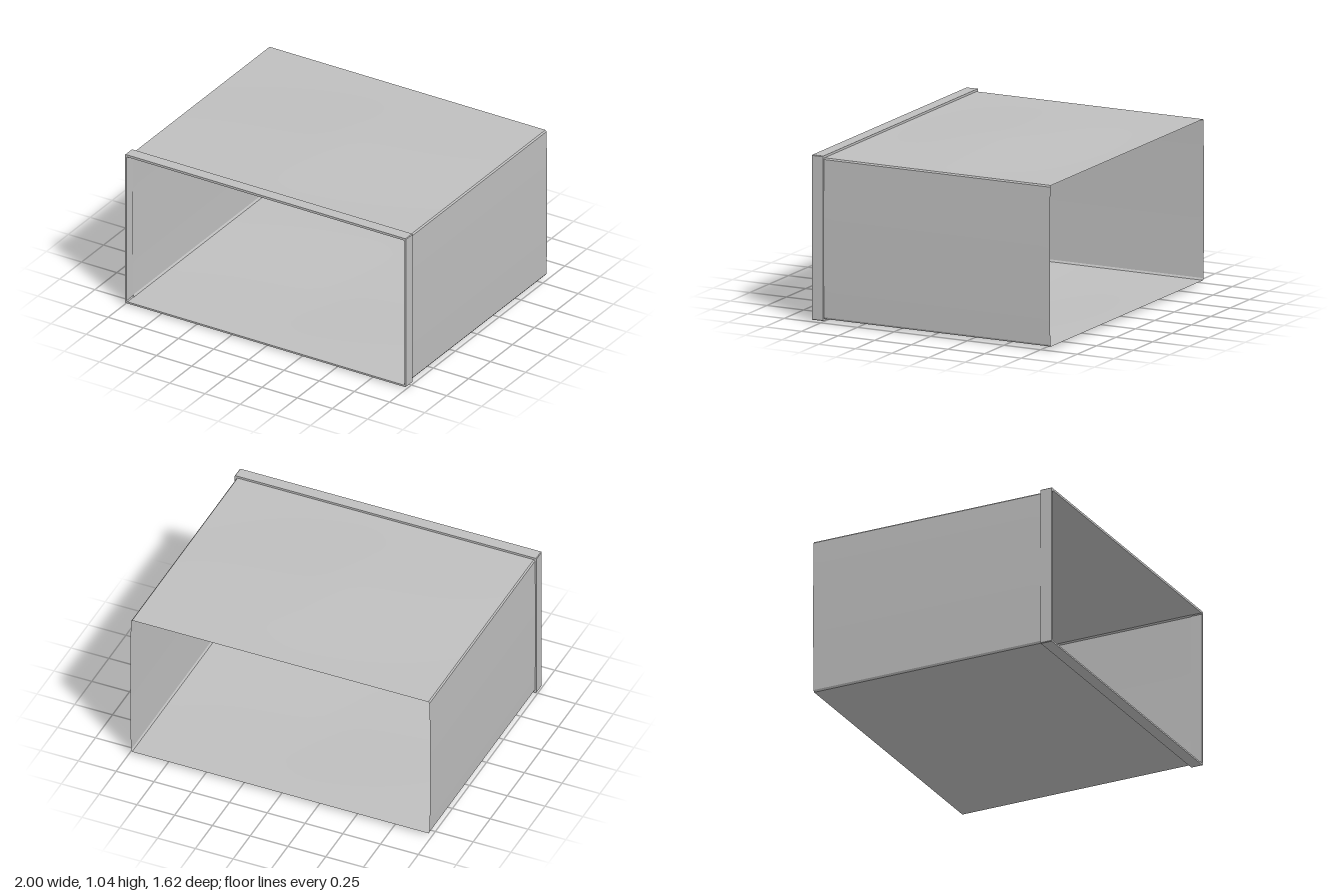
import * as THREE from 'three';

const BACK = -0.81, SEAM = 0.735, FRONT = 0.81;
const TOP = 1.021, BOTTOM = 0.022, BULGE = 0.022;

export function createModel() {
  const group = new THREE.Group();
  group.name = 'openSleeve';
  const grey = new THREE.MeshStandardMaterial({ color: 0xbfbfbf, side: THREE.DoubleSide });
  grey.name = 'grey';

  // Thin sheet: place(u, z) gives [x, y] for u in -1..1 across the panel
  function addSheet(name, segments, place) {
    const geo = new THREE.PlaneGeometry(2, 2, segments, 24);
    const p = geo.attributes.position;
    for (let i = 0; i < p.count; i++) {
      const z = THREE.MathUtils.mapLinear(p.getY(i), 1, -1, BACK, SEAM);
      const [x, y] = place(p.getX(i), z);
      p.setXYZ(i, x, y, z);
    }
    geo.computeVertexNormals();
    const mesh = new THREE.Mesh(geo, grey);
    mesh.name = name;
    group.add(mesh);
  }

  // Gentle crown of the top and bottom panels
  const crown = (u, z) => {
    const across = (Math.sqrt(1.01) - Math.sqrt(u * u + 0.01)) / (Math.sqrt(1.01) - 0.1);
    return BULGE * across * (1 + Math.cos(Math.PI * z / 0.81)) / 2;
  };
  addSheet('topPanel', 24, (u, z) => [0.98 * u, TOP + crown(u, z)]);
  addSheet('bottomPanel', 24, (u, z) => [-0.98 * u, BOTTOM - crown(u, z)]);

  for (const [side, s] of [['left', 1], ['right', -1]]) {
    // Side wall, very slightly bowed
    addSheet(side + 'Wall', 12, (u) => [s * (0.988 + 0.004 * (1 - u * u)), 0.523 - s * 0.489 * u]);
    // Narrow bevels joining the wall to the top and bottom
    addSheet(side + 'TopBevel', 1, (u) => {
      const t = (1 + s * u) / 2;
      return [s * (0.98 + 0.008 * t), TOP - 0.009 * t];
    });
    addSheet(side + 'BottomBevel', 1, (u) => {
      const t = (1 - s * u) / 2;
      return [s * (0.98 + 0.008 * t), BOTTOM + 0.012 * t];
    });
  }

  // Raised frame around the front opening
  const rect = (path, x, y0, y1, c) => path
    .moveTo(-x + c, y0).lineTo(x - c, y0).lineTo(x, y0 + c).lineTo(x, y1 - c)
    .lineTo(x - c, y1).lineTo(-x + c, y1).lineTo(-x, y1 - c).lineTo(-x, y0 + c).closePath();
  const outline = rect(new THREE.Shape(), 0.999, 0.012, 1.035, 0.004);
  outline.holes.push(rect(new THREE.Path(), 0.987, 0.023, 1.02, 0.006));
  const frame = new THREE.Mesh(
    new THREE.ExtrudeGeometry(outline, { depth: FRONT - SEAM, bevelEnabled: false }), grey);
  frame.position.z = SEAM;
  frame.name = 'frontFrame';
  group.add(frame);

  return group;
}
